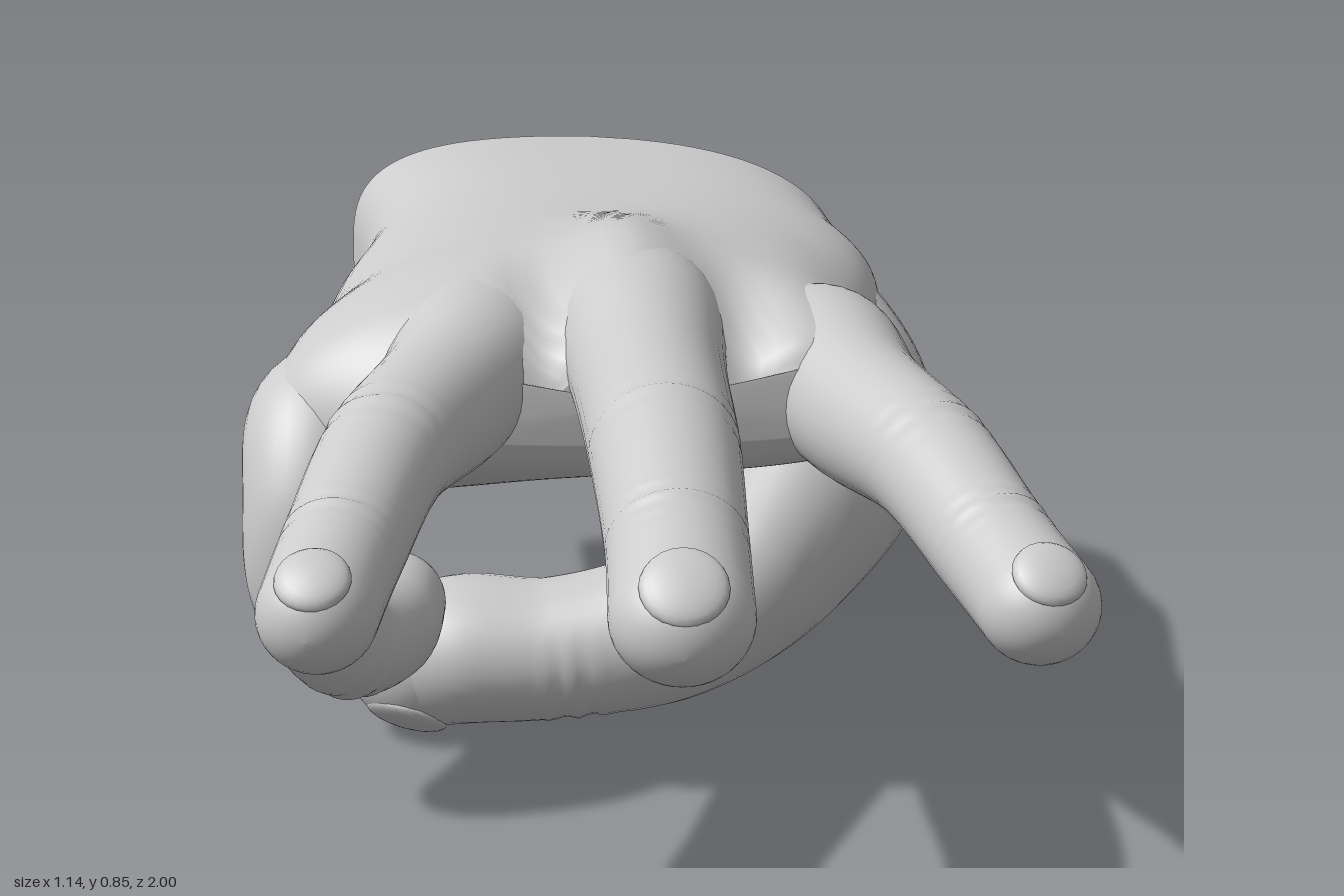
import * as THREE from 'three';

const material = new THREE.MeshStandardMaterial({ color: 0xcccccc, roughness: 0.7 });
const V = (x, y, z) => new THREE.Vector3(x, y, z);
const smooth = THREE.MathUtils.smoothstep;
const bump = (d, width) => Math.exp(-((d / width) ** 2));

// Smooth interpolation through rows of numbers, t in 0..1
function spline(rows, t) {
  const last = rows.length - 1;
  const i = Math.min(Math.floor(t * last), last - 1), f = t * last - i;
  const row = (k) => rows[THREE.MathUtils.clamp(i + k, 0, last)];
  return rows[0].map((_, c) => {
    const [a, b, d, e] = [row(-1)[c], row(0)[c], row(1)[c], row(2)[c]];
    return b + 0.5 * f * (d - a + f * (2 * a - 5 * b + 4 * d - e + f * (3 * (b - d) + e - a)));
  });
}

// Skin a list of closed rings that all have the same number of points
function skin(rings) {
  const n = rings[0].length, index = [];
  for (let i = 0; i < rings.length - 1; i++) {
    for (let j = 0; j < n; j++) {
      const a = i * n + j, b = i * n + (j + 1) % n;
      index.push(a, b, a + n, b, b + n, a + n);
    }
  }
  const geometry = new THREE.BufferGeometry().setFromPoints(rings.flat());
  geometry.setIndex(index);
  geometry.computeVertexNormals();
  return geometry;
}

function mesh(geometry, name) {
  const m = new THREE.Mesh(geometry, material);
  m.name = name;
  return m;
}

// Palm and wrist: z, left x, right x, left mid y, right mid y, top y, bottom y at each side
const palmRows = [
  [-1.0, -0.41, 0.39, 0.57, 0.57, 0.77, 0.365, 0.45],
  [-0.75, -0.39, 0.40, 0.55, 0.58, 0.775, 0.32, 0.45],
  [-0.5, -0.45, 0.425, 0.54, 0.60, 0.785, 0.29, 0.46],
  [-0.25, -0.49, 0.39, 0.54, 0.62, 0.81, 0.34, 0.50],
  [-0.05, -0.53, 0.37, 0.57, 0.63, 0.825, 0.42, 0.51],
  [0.08, -0.53, 0.385, 0.58, 0.63, 0.81, 0.48, 0.52],
  [0.17, -0.43, 0.385, 0.60, 0.64, 0.765, 0.55, 0.55],
  [0.2, -0.33, 0.34, 0.63, 0.65, 0.72, 0.60, 0.60],
];

function palmRing(t, n = 96) {
  const [z, xl, xr, yl, yr, top, botL, botR] = spline(palmRows, t);
  const slant = 0.9 * (1 - smooth(z, -1, -0.45));
  // The section is boxy at the wrist and oval at the knuckles
  const power = 0.62 + 0.28 * smooth(z, -0.9, -0.2);
  return Array.from({ length: n }, (_, j) => {
    const a = (j / n) * Math.PI * 2, c = Math.cos(a), s = Math.sin(a);
    const u = 0.5 + 0.5 * Math.sign(c) * Math.abs(c) ** power;
    const x = xl + (xr - xl) * u, mid = yl + (yr - yl) * u;
    let y = s >= 0 ? mid + (top - mid) * s ** power
      : mid + (botL + (botR - botL) * u - mid) * (-s) ** 0.7;
    if (s > 0) {
      // Knuckle ridges with hollows between them
      y += s * smooth(z, -0.45, -0.03) * (0.035 * bump(x, 0.08) + 0.012 * bump(x - 0.27, 0.07));
      y -= s * smooth(z, -0.12, 0.2) * 0.05 * (bump(x - 0.15, 0.05) + bump(x + 0.13, 0.05));
    } else {
      // Cupped hollow of the palm
      y -= s * 0.07 * smooth(z, -0.65, -0.25) * bump(x - 0.02, 0.22) * (1 - smooth(z, -0.05, 0.18));
    }
    return V(x, y, z + slant * Math.max(0, x + 0.06) ** 1.6);
  });
}

function palm() {
  const group = new THREE.Group();
  group.name = 'palm';
  const rings = Array.from({ length: 71 }, (_, i) => palmRing(i / 70));
  const first = rings[0], front = rings[70];
  rings.push(front.map(() => V(0, 0.66, 0.205)));
  group.add(mesh(skin(rings), 'palmSurface'));
  // Flat cut at the wrist, slanting towards the thumb side
  const center = V(-0.06, 0.58, -1);
  const fan = first.flatMap((p, j) => [center, first[(j + 1) % first.length], p]);
  const cut = new THREE.BufferGeometry().setFromPoints(fan);
  cut.computeVertexNormals();
  group.add(mesh(cut, 'wristCut'));
  return group;
}

// Finger: rows are x, y, z, half width, half thickness; joints are positions along it
function finger(name, rows, { ref = V(1, 0, 0), joints = [], nailAngle = Math.PI / 2, nail = 0.05 }) {
  const group = new THREE.Group();
  group.name = name;
  const steps = 120, n = 36, rings = [];
  const at = (t) => V(...spline(rows, t));
  const frame = (t) => {
    const T = at(Math.min(1, t + 0.01)).sub(at(Math.max(0, t - 0.01))).normalize();
    const side = ref.clone().addScaledVector(T, -ref.dot(T)).normalize();
    return { T, side, up: T.clone().cross(side) };
  };
  const ring = (p, { side, up }, a, b, fold = 0) => Array.from({ length: n }, (_, j) => {
    const w = (j / n) * Math.PI * 2;
    const k = 1 + fold * Math.max(0, Math.cos(w - nailAngle));
    return p.clone().addScaledVector(side, a * k * Math.cos(w)).addScaledVector(up, b * k * Math.sin(w));
  });
  for (let i = 0; i <= steps; i++) {
    const t = i / steps, [, , , a, b] = spline(rows, t);
    // Fine skin folds over the joints
    const fold = joints.reduce((sum, q) => sum + 0.03 * bump(t - q, 0.035) * Math.cos((t - q) * 190), 0);
    rings.push(ring(at(t), frame(t), a, b, fold));
  }
  // Rounded tip
  const [, , , a, b] = rows[rows.length - 1], f = frame(1), tip = at(1);
  for (let i = 1; i <= 10; i++) {
    const w = (i / 10) * Math.PI / 2, c = Math.max(Math.cos(w), 1e-4);
    const p = tip.clone().addScaledVector(f.T, Math.sin(w) * a);
    rings.push(ring(p, f, a * c, b * c));
  }
  group.add(mesh(skin(rings), name + 'Surface'));

  // Nail: shallow dome sunk into the tip
  const out = f.side.clone().multiplyScalar(Math.cos(nailAngle)).addScaledVector(f.up, Math.sin(nailAngle));
  const plate = mesh(new THREE.SphereGeometry(1, 24, 12), name + 'Nail');
  plate.position.copy(tip).addScaledVector(f.T, a * 0.3).addScaledVector(out, b * 0.78);
  out.addScaledVector(f.T, 0.45).normalize();
  const across = out.clone().cross(f.T).normalize();
  plate.quaternion.setFromRotationMatrix(
    new THREE.Matrix4().makeBasis(across, out, across.clone().cross(out)));
  plate.scale.set(nail, 0.02, nail);
  group.add(plate);
  return group;
}

export function createModel() {
  const hand = new THREE.Group();
  hand.name = 'hand';
  hand.add(palm());

  hand.add(finger('indexFinger', [
    [0.235, 0.665, -0.13, 0.09, 0.07],
    [0.275, 0.665, 0.02, 0.118, 0.115],
    [0.315, 0.645, 0.2, 0.103, 0.107],
    [0.385, 0.635, 0.42, 0.09, 0.09],
    [0.442, 0.585, 0.63, 0.082, 0.083],
    [0.482, 0.553, 0.78, 0.082, 0.078],
  ], { joints: [0.6, 0.81] }));

  hand.add(finger('middleFinger', [
    [0.0, 0.72, -0.15, 0.09, 0.07],
    [0.005, 0.732, 0.02, 0.125, 0.115],
    [0.01, 0.7, 0.25, 0.11, 0.112],
    [0.01, 0.69, 0.53, 0.103, 0.102],
    [0.01, 0.635, 0.75, 0.095, 0.092],
    [0.005, 0.592, 0.905, 0.095, 0.085],
  ], { joints: [0.6, 0.81], nail: 0.058 }));

  hand.add(finger('ringFinger', [
    [-0.19, 0.69, -0.13, 0.09, 0.07],
    [-0.225, 0.695, 0.02, 0.125, 0.113],
    [-0.28, 0.672, 0.2, 0.103, 0.106],
    [-0.365, 0.665, 0.44, 0.09, 0.09],
    [-0.425, 0.61, 0.67, 0.083, 0.083],
    [-0.457, 0.583, 0.835, 0.08, 0.078],
  ], { joints: [0.6, 0.81] }));

  // Little finger curled under the palm
  hand.add(finger('littleFinger', [
    [-0.41, 0.6, -0.1, 0.09, 0.08],
    [-0.455, 0.585, 0.03, 0.11, 0.108],
    [-0.475, 0.5, 0.115, 0.098, 0.1],
    [-0.48, 0.38, 0.13, 0.088, 0.088],
    [-0.435, 0.28, 0.1, 0.085, 0.087],
    [-0.375, 0.255, 0.0, 0.082, 0.082],
    [-0.355, 0.265, -0.09, 0.078, 0.078],
  ], { joints: [0.7], nail: 0.048 }));

  // Thumb swept across below the palm
  hand.add(finger('thumb', [
    [0.22, 0.6, -0.72, 0.13, 0.115],
    [0.268, 0.58, -0.5, 0.165, 0.145],
    [0.325, 0.455, -0.31, 0.18, 0.168],
    [0.232, 0.29, -0.235, 0.165, 0.138],
    [0.08, 0.182, -0.21, 0.13, 0.122],
    [-0.1, 0.142, -0.21, 0.12, 0.11],
    [-0.24, 0.138, -0.225, 0.132, 0.115],
    [-0.315, 0.122, -0.235, 0.115, 0.112],
  ], { ref: V(-0.5, 0, 1), joints: [0.7], nailAngle: -1.05, nail: 0.065 }));

  return hand;
}
